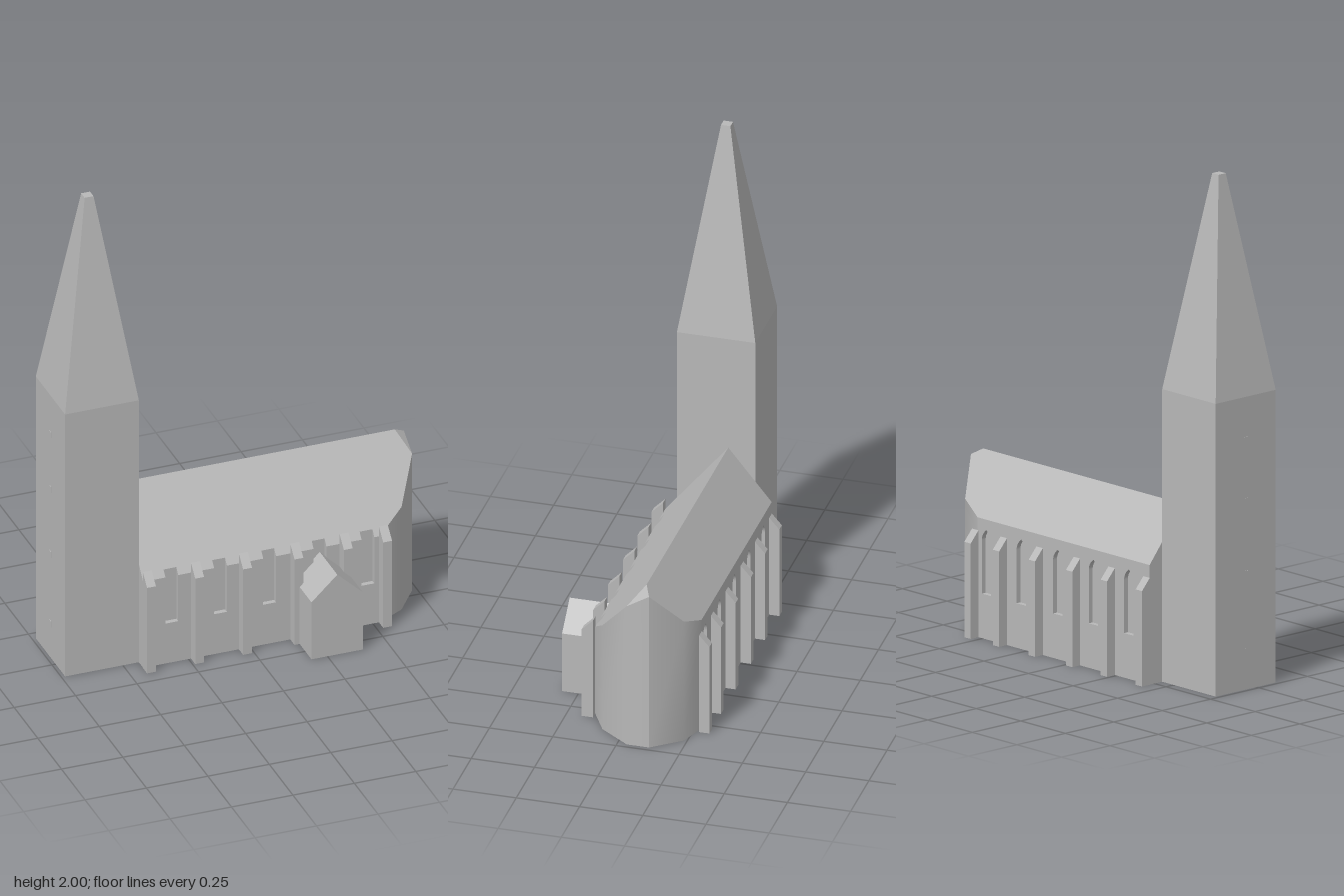
import * as THREE from 'three';
import { toCreasedNormals } from 'three/addons/utils/BufferGeometryUtils.js';

const RIDGE_Z = -0.103, RIDGE_Y = 0.68, FRONT = 0.145, BACK = -0.275;
const WEST = -0.435, EAST = 0.53;
const WINDOWS = [-0.318, -0.12, 0.08, 0.285, 0.48];
const BUTTRESSES = [-0.418, -0.222, -0.027, 0.182, 0.383, 0.543];

// height of the pitched roof at depth z
const roofY = (z) => RIDGE_Y - 1.22 * Math.abs(z - RIDGE_Z);

export function createModel() {
  const stone = new THREE.MeshStandardMaterial({ color: 0xb8b8b8 });
  stone.name = 'stone grey';
  const model = new THREE.Group();
  model.name = 'church';

  const add = (name, geometry, x = 0, y = 0, z = 0) => {
    const mesh = new THREE.Mesh(geometry, stone);
    mesh.name = name;
    mesh.position.set(x, y, z);
    model.add(mesh);
    return mesh;
  };

  // move every vertex by a rule, then restore flat normals
  const reshape = (geometry, rule) => {
    const g = geometry.index ? geometry.toNonIndexed() : geometry;
    const p = g.attributes.position;
    const v = new THREE.Vector3();
    for (let i = 0; i < p.count; i++) {
      rule(v.fromBufferAttribute(p, i));
      p.setXYZ(i, v.x, v.y, v.z);
    }
    g.computeVertexNormals();
    return g;
  };

  const polygon = (points) => new THREE.Shape(points.map(([x, y]) => new THREE.Vector2(x, y)));
  const extrude = (shape, depth) => new THREE.ExtrudeGeometry(shape, { depth, bevelEnabled: false });

  // tower with a square shaft
  add('tower', new THREE.BoxGeometry(0.3, 1.15, 0.31), -0.585, 0.575, -0.055);

  // spire tapering to a small flat tip
  add('spire', reshape(new THREE.BoxGeometry(0.3, 0.85, 0.31), (v) => {
    if (v.y > 0) { v.x *= 0.12; v.z *= 0.12; }
  }), -0.585, 1.575, -0.055);

  // small slits up the west face of the tower
  for (const y of [0.15, 0.455, 0.74, 0.98]) {
    add('towerSlit', new THREE.BoxGeometry(0.004, 0.025, 0.02), -0.735, y, -0.055);
  }

  // nave core and apse: vertical walls on a plan, closed by the pitched roof
  const inner = 0.02;
  const plan = [
    [WEST, RIDGE_Z], [WEST, FRONT - inner], [EAST, FRONT - inner], [EAST, FRONT],
    [0.64, 0.085], [0.73, -0.037], [0.73, -0.125], [0.64, -0.238],
    [EAST, BACK], [EAST, BACK + inner], [WEST, BACK + inner],
  ];
  const positions = [];
  const ridgeEnd = [0.685, RIDGE_Y, RIDGE_Z];
  const floorCentre = [0.685, 0, RIDGE_Z];
  plan.forEach(([ax, az], i) => {
    const [bx, bz] = plan[(i + 1) % plan.length];
    const a0 = [ax, 0, az], b0 = [bx, 0, bz];
    const a1 = [ax, roofY(az), az], b1 = [bx, roofY(bz), bz];
    positions.push(...a0, ...b0, ...b1, ...a0, ...b1, ...a1);
    positions.push(...ridgeEnd, ...a1, ...b1);
    positions.push(...floorCentre, ...b0, ...a0);
  });
  const core = new THREE.BufferGeometry();
  core.setAttribute('position', new THREE.Float32BufferAttribute(positions, 3));
  add('naveAndApse', toCreasedNormals(core, 0.66));

  // outer wall skins follow the roof slope along their top edge
  const underRoof = (geometry, z) => reshape(geometry, (v) => {
    v.z += z;
    if (v.y > 0.44) v.y = roofY(v.z);
  });

  // front wall: window recesses run up through the eave
  const half = 0.026, sill = 0.175;
  const frontOutline = [[WEST, 0], [EAST, 0], [EAST, 0.5]];
  for (const x of [...WINDOWS].reverse()) {
    frontOutline.push([x + half, 0.5], [x + half, sill], [x - half, sill], [x - half, 0.5]);
  }
  frontOutline.push([WEST, 0.5]);
  add('frontWall', underRoof(extrude(polygon(frontOutline), inner), FRONT - inner));

  // back wall: pointed window recesses below the eave
  const backShape = polygon([[WEST, 0], [EAST, 0], [EAST, 0.5], [WEST, 0.5]]);
  for (const x of WINDOWS) {
    const hole = new THREE.Path();
    hole.moveTo(x - half, sill);
    hole.lineTo(x - half, 0.385);
    hole.quadraticCurveTo(x - half, 0.41, x, 0.43);
    hole.quadraticCurveTo(x + half, 0.41, x + half, 0.385);
    hole.lineTo(x + half, sill);
    hole.closePath();
    backShape.holes.push(hole);
  }
  add('backWall', underRoof(extrude(backShape, inner), BACK));

  // buttresses with sloping tops on both sides
  for (const x of BUTTRESSES) {
    for (const side of [1, -1]) {
      const depth = side > 0 ? 0.045 : 0.04;
      const geometry = reshape(new THREE.BoxGeometry(0.036, 0.42, depth), (v) => {
        if (v.y > 0 && v.z * side > 0) v.y -= 0.045;
      });
      const wall = side > 0 ? FRONT : BACK;
      add(side > 0 ? 'frontButtress' : 'backButtress', geometry, x, 0.21, wall + side * depth / 2);
    }
  }

  // gabled porch
  const porch = polygon([[-0.105, 0], [0.105, 0], [0.105, 0.25], [0, 0.35], [-0.105, 0.25]]);
  add('porch', extrude(porch, 0.185), 0.29, 0, 0.13);

  return model;
}
